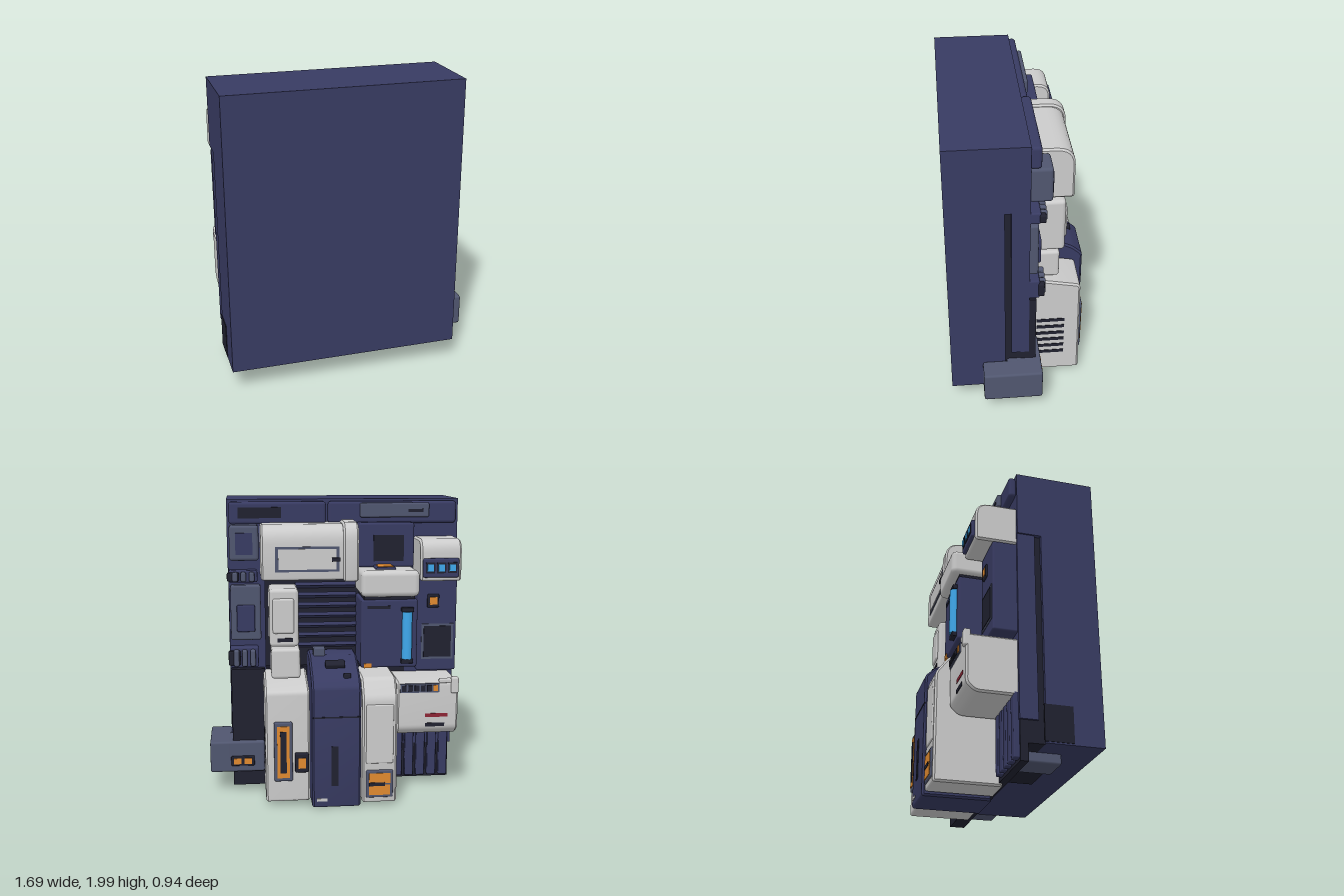
import * as THREE from 'three';
import { RoundedBoxGeometry } from 'three/addons/geometries/RoundedBoxGeometry.js';
import { toCreasedNormals } from 'three/addons/utils/BufferGeometryUtils.js';

const paint = (color) => new THREE.MeshStandardMaterial({ color });
const LIGHT = paint(0xcccccc), NAVY = paint(0x383b62), DARK = paint(0x20212f), SLATE = paint(0x50566f);
const ORANGE = paint(0xe08a30), BLUE = paint(0x3fa8ec), RED = paint(0x8c2434);

export function createModel() {
  const root = new THREE.Group();

  const add = (name, geo, mat) => {
    const mesh = new THREE.Mesh(geo, mat);
    mesh.name = name;
    root.add(mesh);
    return mesh;
  };

  // Box given by its limits on each axis; r rounds the edges
  const box = (name, mat, x0, x1, y0, y1, z0, z1, r = 0) => {
    const s = [x1 - x0, y1 - y0, z1 - z0];
    const geo = r ? new RoundedBoxGeometry(...s, 2, r) : new THREE.BoxGeometry(...s);
    geo.translate((x0 + x1) / 2, (y0 + y1) / 2, (z0 + z1) / 2);
    return add(name, geo, mat);
  };

  // Side profile of [depth toward the back, height, corner radius], extruded along x with bevelled edges
  const profile = (name, mat, x0, x1, pts, b = 0.012) => {
    const shape = new THREE.Shape();
    const n = pts.length;
    const at = (i) => new THREE.Vector2(pts[(i + n) % n][0], pts[(i + n) % n][1]);
    for (let i = 0; i < n; i++) {
      const p = at(i), r = pts[i][2] || 0;
      const a = p.clone().add(at(i - 1).sub(p).setLength(r));
      const c = p.clone().add(at(i + 1).sub(p).setLength(r));
      if (i) shape.lineTo(a.x, a.y); else shape.moveTo(a.x, a.y);
      if (r) shape.quadraticCurveTo(p.x, p.y, c.x, c.y);
    }
    shape.closePath();
    const geo = new THREE.ExtrudeGeometry(shape, {
      depth: x1 - x0 - 2 * b, bevelEnabled: b > 0, bevelSize: b, bevelThickness: b,
      bevelOffset: -b, bevelSegments: 1, curveSegments: 6,
    });
    geo.rotateY(Math.PI / 2).translate(x0 + b, 0, 0);
    return add(name, toCreasedNormals(geo, 0.5), mat);
  };

  // Main slab, top block and back plates
  box('mainSlab', NAVY, -0.845, 0.695, 0.16, 2, 0.11, 0.47);
  box('topBlock', NAVY, -0.845, 0.695, 1.55, 2, -0.045, 0.11);
  box('backPlate', DARK, -0.82, 0.68, 0.16, 1.55, 0, 0.11);
  box('basePlate', DARK, -0.82, 0.685, 0.05, 0.87, -0.04, 0.01);
  box('leftColumn', NAVY, 0.45, 0.69, 0.43, 1.55, -0.045, 0.07);
  box('rightColumn', NAVY, -0.835, -0.5, 0.3, 1.55, -0.045, 0.07);
  box('lowerDarkPanel', DARK, 0.46, 0.685, 0.05, 0.87, -0.09, 0);
  box('sidePlate', DARK, -0.849, -0.84, 0.17, 0.4, 0.1, 0.28);
  box('underBlock', SLATE, -0.68, -0.48, 0.095, 0.17, 0, 0.26, 0.015);
  box('underStrip', DARK, -0.45, -0.17, 0.13, 0.17, 0, 0.24);
  for (let i = 0; i < 5; i++)
    box('lowerRib', NAVY, -0.81 + i * 0.08, -0.75 + i * 0.08, 0.07, 0.48, -0.075, -0.03, 0.008);

  // Long modules along the top
  box('topModuleLeft', NAVY, 0.045, 0.68, 1.84, 1.985, -0.11, -0.04, 0.02);
  box('topModuleRight', NAVY, -0.825, 0.03, 1.84, 1.985, -0.09, -0.04, 0.02);
  box('topModuleInset', DARK, 0.34, 0.62, 1.88, 1.95, -0.114, -0.1);
  box('topLabelPanel', SLATE, -0.64, -0.18, 1.88, 1.975, -0.115, -0.08, 0.012);
  box('topLabelSlot', DARK, -0.6, -0.5, 1.915, 1.935, -0.118, -0.11);
  box('cornerBox', SLATE, 0.49, 0.68, 1.61, 1.84, -0.18, -0.04, 0.02);
  box('cornerBoxInset', NAVY, 0.53, 0.64, 1.65, 1.79, -0.186, -0.17);
  box('monitor', NAVY, -0.53, -0.16, 1.56, 1.85, -0.18, -0.04, 0.015);
  box('monitorScreen', DARK, -0.46, -0.26, 1.6, 1.77, -0.185, -0.17);

  // Connectors and side panel at the left edge
  for (const [y, h] of [[1.5, 0.08], [0.955, 0.14]]) {
    box('connector', NAVY, 0.5, 0.69, y - h / 2, y + h / 2, -0.11, -0.03, 0.012);
    for (let i = 0; i < 3; i++)
      box('connectorRib', SLATE, 0.52 + i * 0.055, 0.555 + i * 0.055, y - h * 0.4, y + h * 0.4, -0.15, -0.1, 0.012);
    box('connectorPlug', DARK, 0.62, 0.70, y - h * 0.35, y + h * 0.35, -0.14, -0.1, 0.01);
  }
  box('sidePanel', SLATE, 0.48, 0.68, 1.07, 1.44, -0.1, -0.03, 0.015);
  box('sidePanelCover', NAVY, 0.52, 0.64, 1.13, 1.31, -0.12, -0.09, 0.01);

  // Wide rounded unit with window and end cap
  const hood = (d, y0, y1) => [[0.03, y0], [d, y0, 0.02], [d, y1, 0.12], [0.03, y1]];
  profile('wideUnit', LIGHT, -0.06, 0.48, hood(0.338, 1.5, 1.85));
  profile('wideUnitCap', LIGHT, -0.145, -0.045, hood(0.35, 1.49, 1.865));
  box('windowFrame', SLATE, -0.02, 0.39, 1.555, 1.715, -0.343, -0.3);
  box('window', LIGHT, 0.0, 0.37, 1.57, 1.7, -0.347, -0.3);
  box('windowLatch', DARK, -0.025, 0.03, 1.62, 1.645, -0.356, -0.33);

  // Louvres in the middle
  for (let i = 0; i < 7; i++) {
    const l = box('louvre', NAVY, -0.16, 0.25, -0.012, 0.012, -0.04, 0.04);
    l.position.set(0, 1.02 + i * 0.068, -0.035);
    l.rotation.x = 0.35;
  }

  // Stacked light boxes
  box('upperBox', LIGHT, 0.24, 0.43, 1.06, 1.44, -0.3, -0.03, 0.025);
  box('upperBoxDoor', LIGHT, 0.27, 0.41, 1.15, 1.38, -0.312, -0.28, 0.015);
  box('upperBoxSlot', DARK, 0.28, 0.38, 1.095, 1.12, -0.304, -0.29);
  box('lowerBox', LIGHT, 0.23, 0.42, 0.84, 1.04, -0.27, -0.03, 0.02);

  // Vented light tower
  profile('ventTower', LIGHT, 0.18, 0.47, [[0.02, 0.045], [0.42, 0.045, 0.02], [0.41, 0.79, 0.03], [0.08, 0.855], [0.02, 0.855]]);
  for (let i = 0; i < 6; i++)
    box('ventSlot', DARK, 0.46, 0.473, 0.2 + i * 0.057, 0.225 + i * 0.057, -0.31, -0.12);
  box('stripFrame', SLATE, 0.295, 0.415, 0.19, 0.59, -0.435, -0.4, 0.01);
  box('stripLight', ORANGE, 0.315, 0.395, 0.215, 0.565, -0.439, -0.42);
  box('stripCore', DARK, 0.335, 0.375, 0.25, 0.53, -0.443, -0.42);
  box('buttonFrame', DARK, 0.19, 0.28, 0.25, 0.38, -0.445, -0.4, 0.01);
  box('button', ORANGE, 0.21, 0.26, 0.28, 0.35, -0.449, -0.43);

  // Dark central tower with sloping top
  profile('centreTower', NAVY, -0.15, 0.17, [[0.02, 0.01], [0.465, 0.01, 0.02], [0.465, 0.82, 0.02], [0.4, 0.88, 0.02], [0.19, 0.98], [0.02, 0.98]]);
  box('towerGroove', DARK, 0, 0.045, 0.16, 0.43, -0.469, -0.44);
  box('towerLabel', LIGHT, 0.07, 0.14, 0.055, 0.075, -0.469, -0.44);
  box('towerSeam', DARK, -0.145, 0.165, 0.62, 0.63, -0.467, -0.44);
  const handle = box('topHandle', DARK, -0.06, 0.07, -0.018, 0.018, -0.03, 0.03, 0.01);
  handle.position.set(0, 0.94, -0.3);
  handle.rotation.x = -0.44;
  box('topKnob', DARK, -0.09, -0.04, 0.85, 0.9, -0.41, -0.38, 0.008);
  box('topBlockSmall', SLATE, 0.06, 0.14, 0.96, 1.03, -0.2, -0.13, 0.01);

  // Light tower with lower orange window
  profile('windowTower', LIGHT, -0.39, -0.16, [[0.02, 0.03], [0.45, 0.03, 0.015], [0.45, 0.74, 0.03], [0.36, 0.86, 0.03], [0.02, 0.86]]);
  box('towerDoor', LIGHT, -0.365, -0.185, 0.3, 0.7, -0.458, -0.43, 0.01);
  box('lampFrame', SLATE, -0.365, -0.185, 0.065, 0.255, -0.46, -0.43, 0.01);
  for (const y of [0.085, 0.165]) box('lamp', ORANGE, -0.345, -0.205, y, y + 0.07, -0.464, -0.44);
  box('lampBar', DARK, -0.31, -0.205, 0.148, 0.172, -0.467, -0.44);

  // Wide light box with keys and stripes
  profile('keyBox', LIGHT, -0.81, -0.4, [[0.02, 0.45], [0.3, 0.45, 0.03], [0.36, 0.5, 0.03], [0.36, 0.82, 0.03], [0.02, 0.82]]);
  box('keyRail', SLATE, -0.68, -0.42, 0.75, 0.81, -0.368, -0.34);
  for (let i = 0; i < 6; i++)
    box('key', i === 5 ? ORANGE : DARK, -0.46 - i * 0.042, -0.43 - i * 0.042, 0.76, 0.8, -0.375, -0.36);
  box('clip', LIGHT, -0.81, -0.76, 0.74, 0.85, -0.375, -0.33, 0.012);
  box('clipArm', LIGHT, -0.77, -0.68, 0.81, 0.84, -0.365, -0.33, 0.01);
  box('redStripe', RED, -0.74, -0.59, 0.58, 0.605, -0.363, -0.35);
  box('darkStripe', DARK, -0.72, -0.59, 0.515, 0.54, -0.363, -0.35);

  // Navy cabinet with light cap and glowing tube
  box('cabinet', NAVY, -0.53, -0.16, 0.92, 1.37, -0.345, -0.03, 0.015);
  box('cabinetTrim', DARK, -0.51, -0.18, 1.35, 1.4, -0.335, -0.04);
  box('cabinetCap', LIGHT, -0.535, -0.155, 1.39, 1.56, -0.39, -0.03, 0.035);
  box('cabinetSlot', DARK, -0.35, -0.2, 1.31, 1.33, -0.348, -0.33);
  box('capFrame', NAVY, -0.39, -0.26, 1.55, 1.575, -0.31, -0.17, 0.008);
  box('capLamp', ORANGE, -0.375, -0.275, 1.56, 1.58, -0.295, -0.185);
  box('cornerTag', ORANGE, -0.23, -0.18, 0.92, 0.95, -0.35, -0.33);
  add('glowTube', new THREE.CylinderGeometry(0.033, 0.033, 0.31, 16).translate(-0.46, 1.135, -0.352), BLUE);
  for (const y of [0.965, 1.305])
    box('tubeHolder', DARK, -0.5, -0.42, y - 0.015, y + 0.015, -0.375, -0.33, 0.006);

  // Rounded box with three blue lights
  profile('lightBox', LIGHT, -0.82, -0.55, [[0.02, 1.48], [0.31, 1.48, 0.02], [0.31, 1.75, 0.09], [0.02, 1.75]]);
  box('lightBoxPanel', NAVY, -0.8, -0.565, 1.505, 1.63, -0.332, -0.29, 0.012);
  for (let i = 0; i < 3; i++) {
    const x = -0.61 - i * 0.072;
    box('blueLightFrame', DARK, x - 0.03, x + 0.03, 1.535, 1.605, -0.336, -0.32);
    box('blueLight', BLUE, x - 0.02, x + 0.02, 1.548, 1.592, -0.34, -0.32);
  }

  // Navy panel below it
  box('rightPanel', NAVY, -0.82, -0.555, 0.86, 1.48, -0.2, -0.03, 0.012);
  box('panelButtonFrame', DARK, -0.7, -0.62, 1.29, 1.38, -0.212, -0.18, 0.008);
  box('panelButton', ORANGE, -0.685, -0.635, 1.31, 1.36, -0.216, -0.2);
  box('panelScreenFrame', SLATE, -0.8, -0.585, 0.94, 1.18, -0.204, -0.18);
  box('panelScreen', DARK, -0.785, -0.6, 0.955, 1.165, -0.208, -0.19);

  // Outrigger box at the left side
  box('sideBox', SLATE, 0.695, 0.84, 0.155, 0.37, -0.125, 0.26, 0.015);
  box('sideBoxInner', SLATE, 0.47, 0.72, 0.155, 0.37, -0.125, 0.1, 0.015);
  box('sideLampFrame', DARK, 0.54, 0.7, 0.2, 0.27, -0.135, -0.11, 0.008);
  for (const x of [0.56, 0.63]) box('sideLamp', ORANGE, x, x + 0.05, 0.215, 0.255, -0.14, -0.12);

  return root;
}
